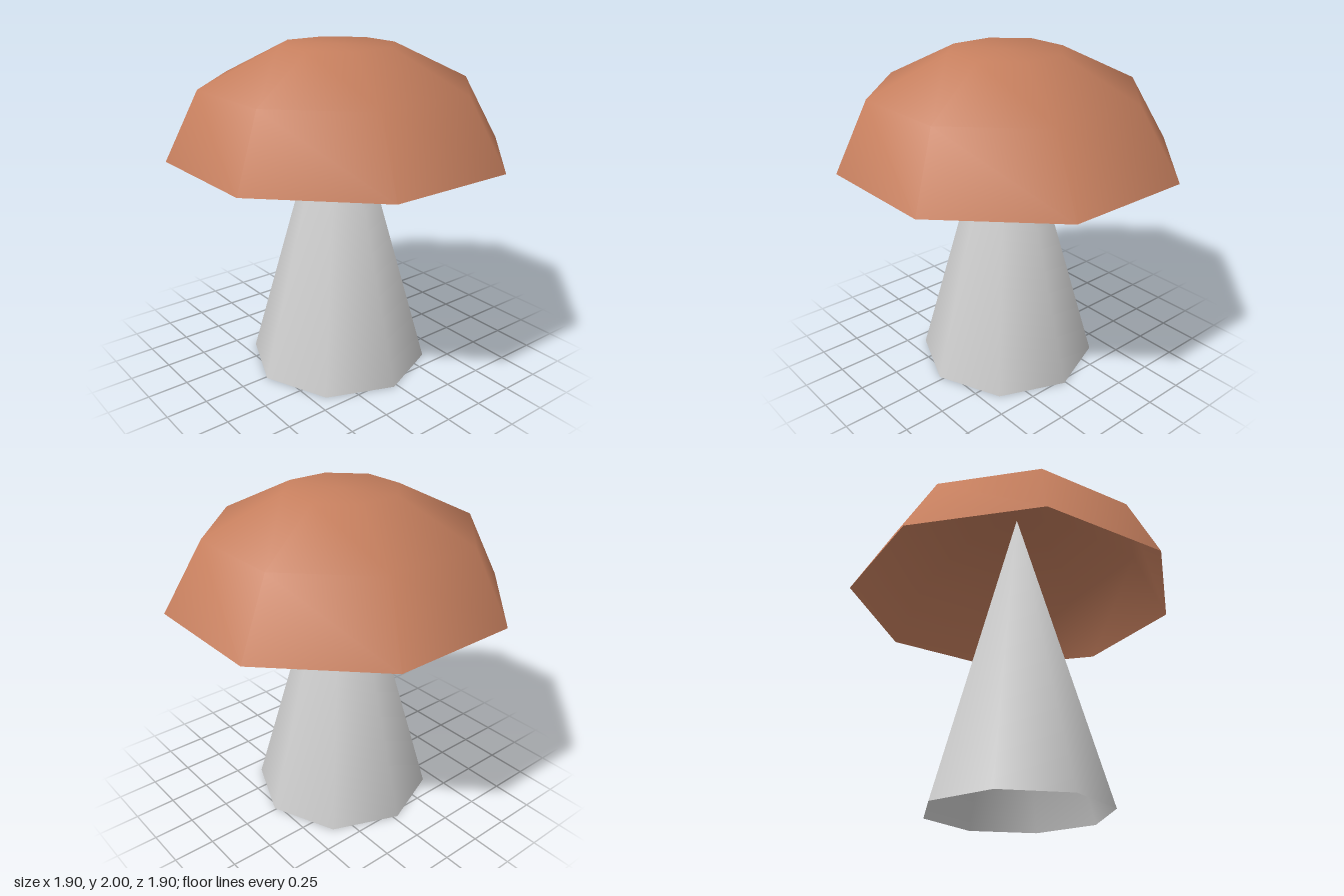
import * as THREE from 'three';
import { mergeVertices } from 'three/addons/utils/BufferGeometryUtils.js';

// Weld the seams so that the normals run smoothly over the whole part
function smooth(geometry) {
  geometry.deleteAttribute('uv');
  geometry.deleteAttribute('normal');
  const welded = mergeVertices(geometry, 1e-4);
  welded.computeVertexNormals();
  return welded;
}

export function createModel() {
  const capBrown = new THREE.MeshStandardMaterial({ color: 0xc67f5e, side: THREE.DoubleSide });
  const stemGrey = new THREE.MeshStandardMaterial({ color: 0xcccccc, side: THREE.DoubleSide });
  capBrown.name = 'capBrown';
  stemGrey.name = 'stemGrey';
  const model = new THREE.Group();
  model.name = 'mushroom';

  // Stem axis and upper cap rings lean slightly off the centre of the rim
  const offX = -0.027, offZ = 0.011;

  // Cap: open eight-sided shell with a flat top, flats facing the axes
  const corner = 1 / Math.cos(Math.PI / 8);
  const profile = [[0.952, 1.37], [0.748, 1.776], [0.318, 2], [0, 2]]
    .map(([r, y]) => new THREE.Vector2(r * corner, y));
  const capGeometry = new THREE.LatheGeometry(profile, 8, Math.PI / 8);
  const p = capGeometry.attributes.position;
  for (let i = 0; i < p.count; i++) {
    if (p.getY(i) > 1.4) p.setXYZ(i, p.getX(i) + offX, p.getY(i), p.getZ(i) + offZ);
  }
  const cap = new THREE.Mesh(smooth(capGeometry), capBrown);
  cap.name = 'cap';
  model.add(cap);

  // Stem: open-bottomed eight-sided cone reaching up inside the cap
  const height = 1.985;
  const stem = new THREE.Mesh(smooth(new THREE.ConeGeometry(0.557, height, 8, 1, true)), stemGrey);
  stem.name = 'stem';
  stem.position.set(offX, height / 2, offZ);
  model.add(stem);

  return model;
}
